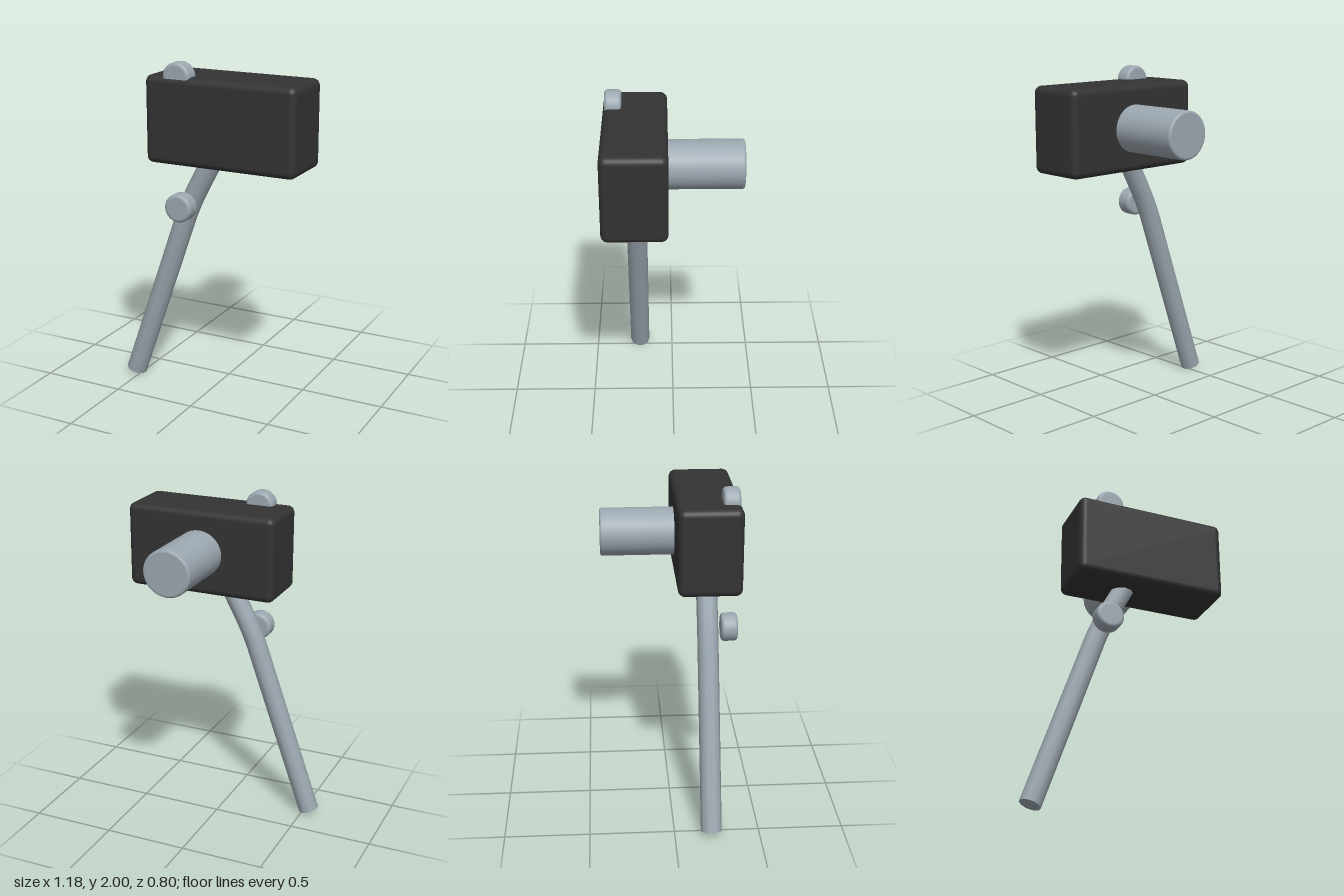
import * as THREE from 'three';
import { RoundedBoxGeometry } from 'three/addons/geometries/RoundedBoxGeometry.js';

const black = new THREE.MeshStandardMaterial({ color: 0x333333 });
black.name = 'black casing';
const steel = new THREE.MeshStandardMaterial({ color: 0x9ca7b0 });
steel.name = 'grey metal';

// Disc or drum along z from z0 to z1 with rounded rims
function roundedDrum(name, x, y, z0, z1, rx, ry, bevel) {
  const half = (z1 - z0) / 2;
  const profile = [new THREE.Vector2(0, -half), new THREE.Vector2(rx - bevel - 0.002, -half)];
  for (const end of [-1, 1]) {
    for (let i = 0; i <= 5; i++) {
      const a = (end < 0 ? i - 5 : i) / 5 * Math.PI / 2;
      profile.push(new THREE.Vector2(rx - bevel + bevel * Math.cos(a), end * (half - bevel) + bevel * Math.sin(a)));
    }
  }
  profile.push(new THREE.Vector2(rx - bevel - 0.002, half), new THREE.Vector2(0, half));
  const geometry = new THREE.LatheGeometry(profile, 40).rotateX(Math.PI / 2).scale(1, ry / rx, 1);
  const mesh = new THREE.Mesh(geometry, steel);
  mesh.position.set(x, y, (z0 + z1) / 2);
  mesh.name = name;
  return mesh;
}

// Rod that bends slightly on its way up into the casing
function bentRod() {
  const z = 0.216, radius = 0.062, sides = 10;
  const p = (x, y) => new THREE.Vector3(x, y, z);
  const foot = p(-0.537, 0.024), bendStart = p(-0.178, 1.05), bendEnd = p(-0.091, 1.25), top = p(0.023, 1.465);
  const path = new THREE.CurvePath();
  path.add(new THREE.LineCurve3(foot, bendStart));
  path.add(new THREE.QuadraticBezierCurve3(bendStart, p(-0.143, 1.15), bendEnd));
  path.add(new THREE.LineCurve3(bendEnd, top));

  const rod = new THREE.Group();
  rod.name = 'bentRod';
  const tube = new THREE.Mesh(new THREE.TubeGeometry(path, 40, radius, sides), steel);
  tube.name = 'rodTube';
  rod.add(tube);

  // Flat cap closing the foot, built on the first ring of the tube
  const ring = tube.geometry.attributes.position;
  const corners = [];
  for (let i = 0; i < sides; i++) {
    corners.push(foot, new THREE.Vector3().fromBufferAttribute(ring, i), new THREE.Vector3().fromBufferAttribute(ring, i + 1));
  }
  const capGeometry = new THREE.BufferGeometry().setFromPoints(corners);
  capGeometry.computeVertexNormals();
  // Turn the cap over if it faces up into the tube
  if (capGeometry.attributes.normal.getY(0) > 0) {
    for (let i = 0; i < corners.length; i += 3) [corners[i + 1], corners[i + 2]] = [corners[i + 2], corners[i + 1]];
    capGeometry.setFromPoints(corners);
    capGeometry.computeVertexNormals();
  }
  const cap = new THREE.Mesh(capGeometry, steel);
  cap.name = 'rodFootCap';
  rod.add(cap);
  return rod;
}

export function createModel() {
  const model = new THREE.Group();
  model.name = 'boxOnRod';

  // Casing
  const casing = new THREE.Mesh(new RoundedBoxGeometry(0.924, 0.505, 0.366, 5, 0.04), black);
  casing.position.set(0.128, 1.668, 0.213);
  casing.name = 'casing';
  model.add(casing);

  // Barrel at the back and the two knobs
  model.add(roundedDrum('barrel', 0.13, 1.668, -0.4, 0.1, 0.145, 0.139, 0.015));
  model.add(roundedDrum('upperKnob', -0.138, 1.917, 0.29, 0.386, 0.085, 0.083, 0.02));
  model.add(roundedDrum('lowerKnob', -0.138, 1.162, 0.29, 0.386, 0.085, 0.083, 0.02));

  model.add(bentRod());
  return model;
}
